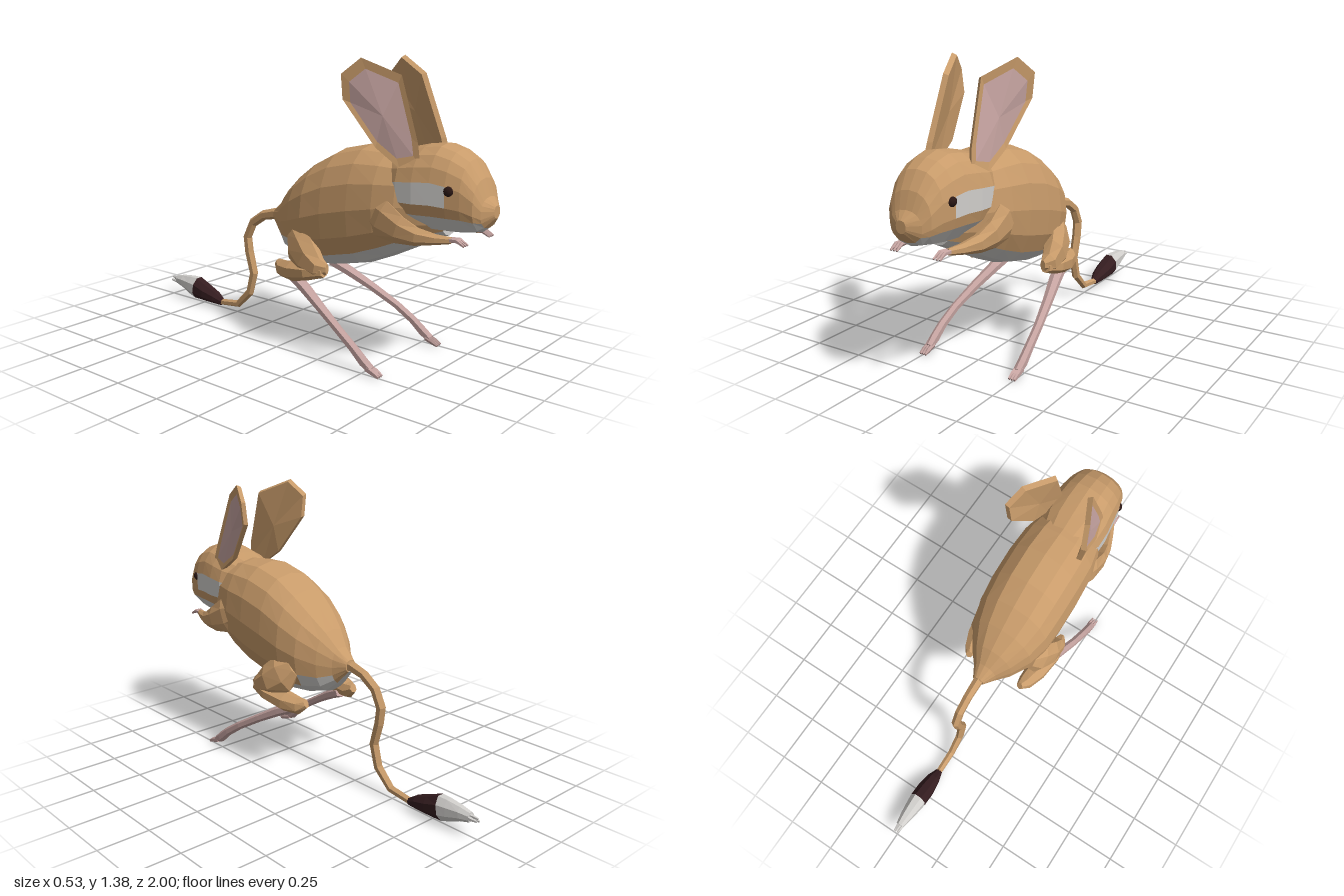
import * as THREE from 'three';

const mat = (name, color) => {
  const m = new THREE.MeshStandardMaterial({ color });
  m.name = name;
  return m;
};
const V = (x, y, z) => new THREE.Vector3(x, y, z);

// Faceted mesh from a list of triangles, sorted into one group per material
function facets(name, tris, mats) {
  const pos = [], geo = new THREE.BufferGeometry();
  mats.forEach((_, m) => {
    const start = pos.length / 3;
    tris.filter(t => t.m === m).forEach(t => t.p.forEach(v => pos.push(v.x, v.y, v.z)));
    geo.addGroup(start, pos.length / 3 - start, m);
  });
  geo.setAttribute('position', new THREE.Float32BufferAttribute(pos, 3));
  geo.computeVertexNormals();
  const mesh = new THREE.Mesh(geo, mats);
  mesh.name = name;
  return mesh;
}

// Joins closed rings of points, capping both ends
function skin(name, rings, mats, pick = () => 0) {
  const tris = [], n = rings[0].length, last = rings.length - 1;
  const mid = r => r.reduce((s, v) => s.add(v), V(0, 0, 0)).divideScalar(n);
  const c0 = mid(rings[0]), c1 = mid(rings[last]);
  for (let j = 0; j < n; j++) {
    const k = (j + 1) % n;
    for (let i = 0; i < last; i++) {
      const a = rings[i][j], b = rings[i][k], c = rings[i + 1][k], d = rings[i + 1][j];
      const m = pick(i, j);
      tris.push({ p: [a, b, c], m }, { p: [a, c, d], m });
    }
    tris.push({ p: [c0, rings[0][k], rings[0][j]], m: pick(0, j) });
    tris.push({ p: [c1, rings[last][j], rings[last][k]], m: pick(last - 1, j) });
  }
  return facets(name, tris, mats);
}

// Upright rings from [z, top, bottom, halfWidth], with angles in degrees
const slices = (list, angles, power = 0.88) => list.map(([z, top, bot, hw]) =>
  angles.map(deg => {
    const a = deg * Math.PI / 180, c = Math.cos(a), s = Math.sin(a);
    const f = q => Math.sign(q) * Math.abs(q) ** power;
    return V(hw * f(c), (top + bot) / 2 + (top - bot) / 2 * f(s), z);
  }));

// Limb or tail whose rings follow a path of [x, y, z, sideRadius, upRadius]
function limb(name, path, n, mats, pick) {
  const pts = path.map(p => V(p[0], p[1], p[2]));
  const rings = path.map((p, i) => {
    const t = pts[Math.min(i + 1, pts.length - 1)].clone().sub(pts[Math.max(i - 1, 0)]).normalize();
    const side = V(1, 0, 0).addScaledVector(t, -t.x).normalize();
    const up = t.clone().cross(side);
    return Array.from({ length: n }, (_, j) => {
      const a = (j + 0.5) / n * Math.PI * 2;
      return pts[i].clone().addScaledVector(side, p[3] * Math.cos(a)).addScaledVector(up, p[4] * Math.sin(a));
    });
  });
  return skin(name, rings, mats, pick);
}

// Thin dished ear with a skin-coloured hollow
function ear(mats) {
  const rim = [[0.145, 0.92, 0.61], [0.125, 0.94, 0.7], [0.115, 1.03, 0.68], [0.097, 1.31, 0.58],
    [0.17, 1.38, 0.42], [0.205, 1.31, 0.34], [0.192, 1.2, 0.34], [0.155, 1.0, 0.49]].map(p => V(...p));
  const n = rim.length, out = V(0.9, 0.05, 0.4).normalize();
  const mid = rim.reduce((s, v) => s.add(v), V(0, 0, 0)).divideScalar(n);
  const inset = rim.map(v => v.clone().lerp(mid, 0.19).addScaledVector(out, -0.008));
  const back = rim.map(v => v.clone().lerp(mid, 0.04).addScaledVector(out, -0.024));
  const hollow = mid.clone().addScaledVector(out, -0.012), rear = mid.clone().addScaledVector(out, -0.028);
  const tris = [];
  const quad = (a, b, c, d) => tris.push({ p: [a, b, c], m: 0 }, { p: [a, c, d], m: 0 });
  for (let i = 0; i < n; i++) {
    // the rim runs clockwise about +x when listed front first, so corners are reversed
    const k = (i + 1) % n;
    quad(rim[k], rim[i], inset[i], inset[k]);
    quad(rim[i], rim[k], back[k], back[i]);
    tris.push({ p: [hollow, inset[k], inset[i]], m: 1 }, { p: [rear, back[i], back[k]], m: 0 });
  }
  const normal = rim[1].clone().sub(rim[0]).cross(rim[2].clone().sub(rim[0]));
  if (normal.x > 0) tris.forEach(t => t.p.reverse());
  return facets('ear', tris, mats);
}

export function createModel() {
  const fur = mat('tan fur', 0xc89b6a), pale = mat('pale fur', 0xd2d0cd);
  const pink = mat('pink skin', 0xc5a3a0), dark = mat('dark tuft', 0x351d20);
  const eyeMat = mat('dark eye', 0x2b1815);
  const model = new THREE.Group();
  model.name = 'jerboa';

  // Body, with a pale belly and rump
  const round = Array.from({ length: 16 }, (_, j) => j * 22.5);
  model.add(skin('body', slices([
    [-0.21, 0.61, 0.55, 0.03], [-0.15, 0.66, 0.48, 0.065], [-0.09, 0.735, 0.425, 0.115],
    [0, 0.815, 0.4, 0.17], [0.1, 0.89, 0.39, 0.2], [0.22, 0.955, 0.4, 0.208], [0.37, 0.99, 0.435, 0.208],
    [0.5, 0.985, 0.49, 0.2], [0.6, 0.97, 0.54, 0.175], [0.69, 0.92, 0.585, 0.13], [0.78, 0.84, 0.63, 0.08],
  ], round), [fur, pale], (i, j) => {
    const spread = i > 0 && i < 3 ? 3 : i === 0 ? 1 : 2;
    return Math.abs(j + 0.5 - 12) < spread ? 1 : 0;
  }));

  // Head, with pale chin and cheek patches either side of a tan band
  const half = [-90, -60, -30, -14, 10, 30, 50, 70];
  const angles = [...half, 90, ...half.slice(1).reverse().map(a => 180 - a)];
  model.add(skin('head', slices([
    [0.5, 0.97, 0.68, 0.13], [0.6, 1.0, 0.655, 0.168], [0.68, 1.02, 0.645, 0.168], [0.76, 1.03, 0.645, 0.157],
    [0.83, 1.01, 0.65, 0.147], [0.89, 0.975, 0.658, 0.13], [0.94, 0.9, 0.67, 0.108],
    [0.965, 0.825, 0.69, 0.08], [0.998, 0.79, 0.735, 0.025],
  ], angles), [fur, pale], (i, j) => {
    const band = Math.min(j, 15 - j);
    return (band < 2 && i < 7) || (band === 3 && i < 4) ? 1 : 0;
  }));

  // Tail and its two-coloured tuft
  model.add(limb('tail', [
    [0, 0.58, -0.16, 0.03, 0.03], [0, 0.58, -0.22, 0.025, 0.028], [0, 0.56, -0.3, 0.023, 0.025],
    [0, 0.51, -0.375, 0.022, 0.025], [0, 0.43, -0.415, 0.022, 0.025], [0, 0.35, -0.405, 0.022, 0.025],
    [0, 0.24, -0.375, 0.021, 0.024], [0, 0.13, -0.405, 0.02, 0.022], [0, 0.048, -0.49, 0.018, 0.019],
    [0, 0.03, -0.63, 0.016, 0.016],
  ], 6, [fur]));
  model.add(limb('tailTuft', [
    [0, 0.03, -0.61, 0.018, 0.018], [0, 0.047, -0.66, 0.035, 0.034], [0, 0.062, -0.73, 0.046, 0.047],
    [0, 0.077, -0.8, 0.045, 0.062], [0, 0.083, -0.845, 0.04, 0.054], [0, 0.092, -0.91, 0.031, 0.036],
    [0, 0.093, -0.96, 0.021, 0.024],
  ], 8, [dark, pale], i => (i > 2 ? 1 : 0)));
  for (const [x, y] of [[0, 0.1], [-0.01, 0.085], [0.01, 0.09]]) {
    model.add(limb('tuftTip', [[x, y, -0.93, 0.014, 0.015], [x * 0.9, y, -1, 0.004, 0.005]], 5, [pale]));
  }

  // Paired parts, built on the left and mirrored
  const side = () => {
    const g = new THREE.Group();
    g.add(ear([fur, pink]));
    const eye = new THREE.Mesh(new THREE.SphereGeometry(0.025, 10, 8), eyeMat);
    eye.name = 'eye';
    eye.position.set(0.128, 0.85, 0.842);
    g.add(eye);
    // Front leg and small paw
    g.add(limb('foreleg', [
      [0.15, 0.74, 0.45, 0.03, 0.06], [0.172, 0.7, 0.54, 0.034, 0.09], [0.176, 0.665, 0.63, 0.034, 0.066],
      [0.163, 0.645, 0.71, 0.032, 0.042], [0.138, 0.64, 0.79, 0.025, 0.024], [0.118, 0.642, 0.855, 0.015, 0.015],
    ], 7, [fur]));
    for (const d of [-1, 0, 1]) {
      g.add(limb('foreToe', [[0.118 + d * 0.009, 0.643, 0.84, 0.009, 0.011],
        [0.112 + d * 0.014, 0.645, 0.885, 0.008, 0.01], [0.11 + d * 0.016, 0.626, 0.92, 0.004, 0.005]], 5, [pink]));
    }
    // Thigh to knee, then the furred shin folding back to the ankle
    g.add(limb('thigh', [
      [0.15, 0.55, 0.03, 0.03, 0.05], [0.172, 0.505, 0.08, 0.05, 0.095], [0.195, 0.455, 0.15, 0.052, 0.085],
      [0.205, 0.425, 0.22, 0.04, 0.05], [0.2, 0.425, 0.265, 0.015, 0.025],
    ], 7, [fur]));
    g.add(limb('shin', [
      [0.205, 0.41, 0.25, 0.025, 0.025], [0.2, 0.395, 0.16, 0.05, 0.04], [0.18, 0.375, 0.05, 0.055, 0.05],
      [0.165, 0.37, -0.03, 0.04, 0.042], [0.155, 0.39, -0.07, 0.018, 0.022],
    ], 7, [fur]));
    // Long bare hind foot
    g.add(limb('hindFoot', [
      [0.155, 0.345, 0.02, 0.032, 0.026], [0.175, 0.305, 0.11, 0.031, 0.025], [0.205, 0.24, 0.23, 0.025, 0.021],
      [0.232, 0.165, 0.36, 0.021, 0.02], [0.242, 0.105, 0.45, 0.021, 0.022], [0.245, 0.055, 0.51, 0.022, 0.026],
      [0.245, 0.03, 0.55, 0.021, 0.018],
    ], 6, [pink]));
    for (const d of [-1, 0, 1]) {
      g.add(limb('hindToe', [[0.245 + d * 0.011, 0.035, 0.53, 0.01, 0.016],
        [0.245 + d * 0.013, 0.022, 0.57, 0.009, 0.014], [0.245 + d * 0.014, 0.009, 0.597, 0.005, 0.008]], 5, [pink]));
    }
    return g;
  };
  const left = side(), right = side();
  left.name = 'leftSide';
  right.name = 'rightSide';
  right.scale.x = -1;
  model.add(left, right);
  return model;
}
